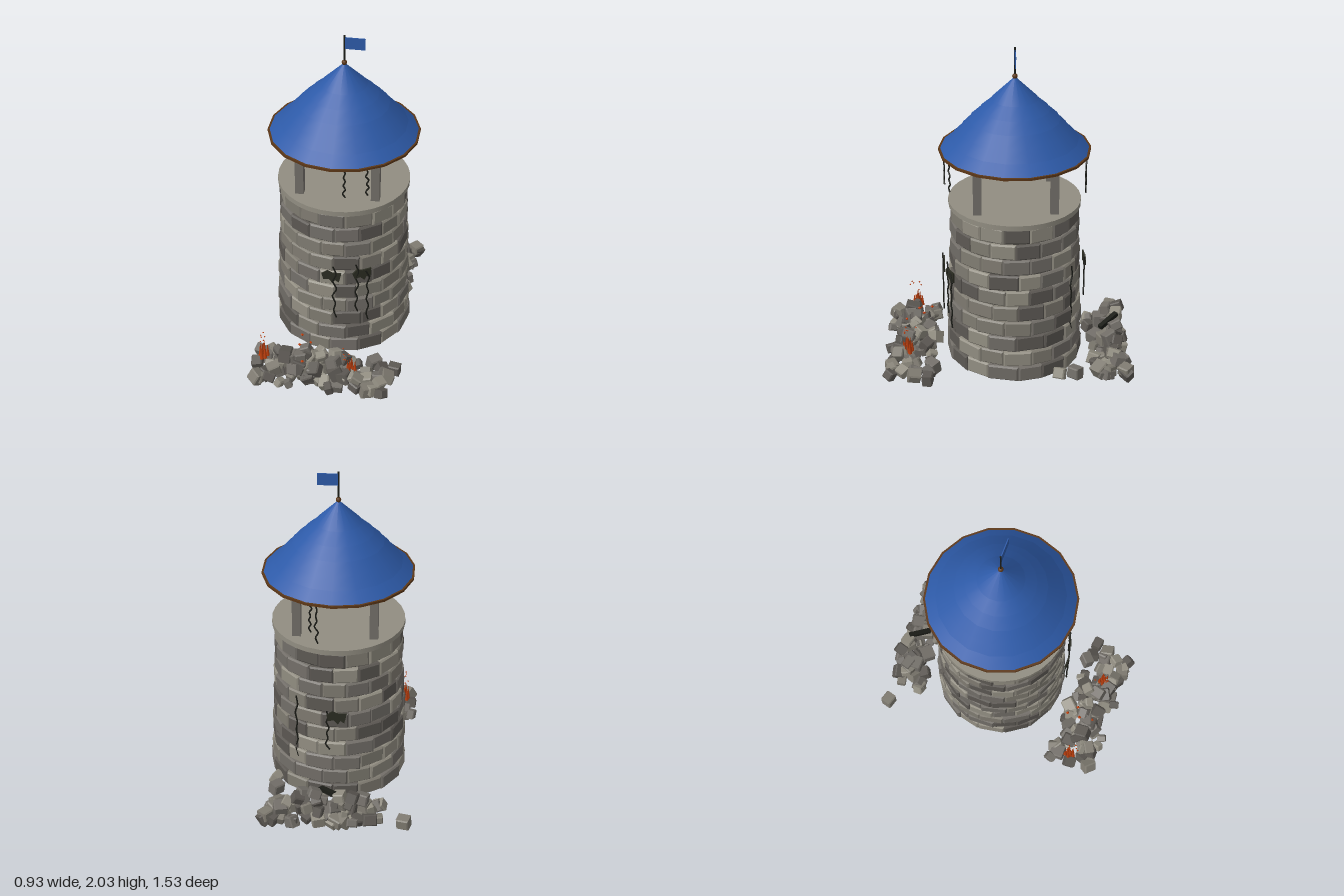
import * as THREE from 'three';
import { mergeGeometries } from 'three/addons/utils/BufferGeometryUtils.js';

const mat = (name, color) => {
  const m = new THREE.MeshStandardMaterial({ color });
  m.name = name;
  return m;
};
const greys = [
  mat('pale stone', 0x918d81), mat('mid stone', 0x7f7b71),
  mat('grey stone', 0x726e68), mat('dark stone', 0x5c5853),
];
const mortar = mat('mortar', 0x4a4742);
const blue = mat('roof blue', 0x2d5aa8);
const wood = mat('brown wood', 0x5c3717);
const vineMat = mat('charred black', 0x1b1c17);
const mossMat = mat('dark moss', 0x2b2c22);
const ember = mat('ember orange', 0xbf400e);
vineMat.side = mossMat.side = THREE.DoubleSide;

// Tower axis
const CX = 0.008, CZ = -0.055;

let seed = 11;
const rand = (a = 0, b = 1) => {
  seed = (seed * 16807) % 2147483647;
  return a + (b - a) * (seed / 2147483647);
};

function add(parent, name, geo, material, x = 0, y = 0, z = 0) {
  const m = new THREE.Mesh(geo, material);
  m.name = name;
  m.position.set(x, y, z);
  parent.add(m);
  return m;
}

// Chamfered block centred on the origin
function block(w, h, d, b = 0.009) {
  const x = w / 2 - b, y = h / 2 - b;
  const s = new THREE.Shape([[-x, -y], [x, -y], [x, y], [-x, y]].map(p => new THREE.Vector2(...p)));
  const g = new THREE.ExtrudeGeometry(s, {
    depth: d - 2 * b, bevelEnabled: true, bevelSize: b, bevelThickness: b, bevelSegments: 1,
  });
  return g.translate(0, 0, b - d / 2);
}

function place(geo, x, y, z, rx, ry, rz) {
  const q = new THREE.Quaternion().setFromEuler(new THREE.Euler(rx, ry, rz, 'YXZ'));
  return geo.applyMatrix4(new THREE.Matrix4().compose(new THREE.Vector3(x, y, z), q, new THREE.Vector3(1, 1, 1)));
}

// Sorts blocks by grey and merges each grey into one mesh
function stoneGroup(parent, name, build) {
  const bins = greys.map(() => []);
  build(geo => bins[Math.floor(rand(0, 3.999))].push(geo));
  const group = new THREE.Group();
  group.name = name;
  bins.forEach((b, i) => b.length && add(group, name + ' ' + greys[i].name, mergeGeometries(b), greys[i]));
  parent.add(group);
}

// Wiggly strand running down the tower at angle a (from +z toward +x)
function strand(parent, name, a, r, top, bottom) {
  const n = 7, pts = [];
  for (let i = 0; i <= n; i++) {
    const s = (i % 2 ? 1 : -1) * rand(0.003, 0.014);
    pts.push(new THREE.Vector3(
      CX + Math.sin(a) * r + Math.cos(a) * s, top + (bottom - top) * i / n,
      CZ + Math.cos(a) * r - Math.sin(a) * s));
  }
  const curve = new THREE.CatmullRomCurve3(pts, false, 'catmullrom', 0.2);
  add(parent, name, new THREE.TubeGeometry(curve, 24, 0.005, 5), vineMat);
}

// Ragged flat patch on the wall
function patch(parent, a, y, flip) {
  const pts = [[-0.065, 0.02], [-0.03, 0.045], [0, 0.03], [0.06, 0.03], [0.045, -0.035],
    [0.02, -0.02], [0.005, -0.045], [-0.02, -0.015], [-0.055, -0.02]];
  const s = new THREE.Shape(pts.map(p => new THREE.Vector2(p[0] * 0.95, p[1])));
  const g = new THREE.ExtrudeGeometry(s, { depth: 0.009, bevelEnabled: false });
  const m = add(parent, 'moss patch', g, mossMat, CX + Math.sin(a) * 0.424, y, CZ + Math.cos(a) * 0.424);
  m.rotation.set(0, a, flip, 'YXZ');
}

// Loose stones: layers of [count, y, x range, z range]
function rubble(parent, name, layers, extras) {
  stoneGroup(parent, name, push => {
    const stone = (x, y, z, s) => push(place(
      block(s, s * rand(0.75, 1), s * rand(0.8, 1.1), 0.007), x, y, z,
      rand(-0.5, 0.5), rand(0, 6.28), rand(-0.5, 0.5)));
    for (const [n, y, x0, x1, z0, z1] of layers)
      for (let i = 0; i < n; i++)
        stone(x0 + (x1 - x0) * (i + rand()) / n, y + rand(-0.012, 0.012), rand(z0, z1), rand(0.05, 0.085));
    for (const [x, y, z, s] of extras) stone(x, y, z, s);
  });
}

function createModel() {
  const model = new THREE.Group();
  model.name = 'ruined watchtower';

  // Wall core and brick courses
  add(model, 'wall core', new THREE.CylinderGeometry(0.365, 0.392, 1.0, 32), mortar, CX, 0.53, CZ);
  const courses = 10, perRow = 16, pitch = 0.1013;
  stoneGroup(model, 'brick', push => {
    for (let r = 0; r < courses; r++) {
      const radius = 0.41 - 0.0033 * r, step = Math.PI * 2 / perRow;
      const cuts = Array.from({ length: perRow }, (_, i) => (i + (r % 2) / 2 + rand(-0.1, 0.1)) * step);
      cuts.push(cuts[0] + Math.PI * 2);
      for (let i = 0; i < perRow; i++) {
        const a = (cuts[i] + cuts[i + 1]) / 2, depth = 0.085;
        const w = (cuts[i + 1] - cuts[i]) * radius - 0.001;
        const rc = radius - depth / 2 + rand(-0.004, 0.005);
        push(place(block(w, 0.097, depth), CX + Math.sin(a) * rc, 0.068 + r * pitch, CZ + Math.cos(a) * rc,
          rand(-0.03, 0.03), a + rand(-0.05, 0.05), rand(-0.015, 0.015)));
      }
    }
  });

  // Deck and posts
  add(model, 'deck', new THREE.CylinderGeometry(0.397, 0.397, 0.032, 32), greys[0], CX, 1.044, CZ);
  for (const sx of [-1, 1]) for (const sz of [-1, 1])
    add(model, 'post', new THREE.BoxGeometry(0.05, 0.32, 0.05), greys[2], CX + sx * 0.225, 1.218, CZ + sz * 0.225);

  // Stepped roof with wooden rim
  add(model, 'roof rim', new THREE.CylinderGeometry(0.45, 0.45, 0.014, 18), wood, CX, 1.376, CZ);
  const tiers = [[0.438, 1.383], [0.377, 1.44], [0.322, 1.502], [0.267, 1.565], [0.205, 1.627], [0.137, 1.69], [0, 1.825]];
  for (let i = 0; i < 6; i++) {
    const [r, y] = tiers[i], [r2, y2] = tiers[i + 1];
    const h = y2 - y + (i < 5 ? 0.006 : 0);
    add(model, 'roof tier', new THREE.CylinderGeometry(i < 5 ? r2 - 0.012 : 0, r, h, 18), blue, CX, y + h / 2, CZ);
  }

  // Finial, pole and flag
  add(model, 'finial', new THREE.SphereGeometry(0.016, 12, 8), wood, CX, 1.826, CZ);
  add(model, 'flag pole', new THREE.CylinderGeometry(0.005, 0.005, 0.18, 8), vineMat, CX, 1.91, CZ);
  add(model, 'flag', new THREE.BoxGeometry(0.118, 0.072, 0.006), blue, CX + 0.062, 1.95, CZ);

  // Strands hanging from the eaves
  for (const [x, z, bottom] of [[0.08, 0.36, 1.18], [0.205, 0.33, 1.19], [0.1, -0.472, 1.12], [0.135, -0.468, 1.19]])
    strand(model, 'hanging strand', Math.atan2(x - CX, z - CZ), Math.hypot(x - CX, z - CZ), 1.372, bottom);

  // Strands and patches on the wall
  for (const [x, z, top, bottom] of [[0.025, 0.38, 0.69, 0.31], [0.155, 0.35, 0.7, 0.35], [0.215, 0.33, 0.65, 0.28],
    [0.23, -0.39, 0.7, 0.27], [0.04, -0.48, 0.66, 0.39]])
    strand(model, 'wall strand', Math.atan2(x - CX, z - CZ), Math.hypot(x - CX, z - CZ), top, bottom);
  patch(model, 0.0, 0.61, 0);
  patch(model, 0.43, 0.625, 0.15);
  patch(model, Math.PI + 0.06, 0.62, 0);

  // Rubble heaps in front, behind and beneath
  rubble(model, 'front rubble', [
    [30, 0.04, -0.42, 0.4, 0.43, 0.58], [22, 0.04, -0.4, 0.36, 0.58, 0.72],
    [18, 0.095, -0.36, 0.22, 0.48, 0.67], [9, 0.15, -0.3, 0.1, 0.51, 0.62],
  ], [[-0.43, 0.04, 0.44, 0.06], [0.41, 0.04, 0.48, 0.07], [0.36, 0.04, 0.71, 0.06], [0.31, 0.02, 0.56, 0.03],
    [-0.4, 0.04, 0.69, 0.08], [0.28, 0.05, 0.45, 0.08], [-0.12, 0.185, 0.55, 0.06]]);
  rubble(model, 'back rubble', [
    [20, 0.04, -0.3, 0.4, -0.63, -0.53], [20, 0.04, -0.28, 0.4, -0.73, -0.63],
    [14, 0.1, -0.26, 0.33, -0.72, -0.59], [8, 0.16, -0.2, 0.25, -0.71, -0.63], [3, 0.215, -0.15, 0.1, -0.71, -0.66],
  ], [[-0.43, 0.04, -0.69, 0.075], [0.36, 0.04, -0.415, 0.08], [0.37, 0.04, -0.32, 0.07], [0.39, 0.07, -0.72, 0.07],
    [0.37, 0.03, -0.58, 0.05]]);
  stoneGroup(model, 'footing stone', push => {
    for (let i = 0; i < 32; i++) {
      const a = i * 2.4, r = 0.37 * Math.sqrt((i + 0.5) / 32);
      push(place(block(0.06, 0.03, 0.05, 0.006), CX + Math.sin(a) * r, 0.033, CZ + Math.cos(a) * r,
        rand(-0.2, 0.2), rand(0, 6), rand(-0.2, 0.2)));
    }
  });
  const plank = add(model, 'charred plank', new THREE.BoxGeometry(0.03, 0.025, 0.15), vineMat, 0.025, 0.2, -0.64);
  plank.rotation.set(0.3, 0.7, 0, 'YXZ');

  // Small fires with flying sparks
  for (const [x, z, y] of [[-0.38, 0.555, 0.09], [0.165, 0.605, 0.08]]) {
    for (let i = 0; i < 8; i++) {
      const a = i * 2.4, r = 0.011 * Math.sqrt(i), h = 0.12 - i * 0.006;
      add(model, 'flame', new THREE.ConeGeometry(0.013, h, 5), ember, x + Math.cos(a) * r, y + h / 2, z + Math.sin(a) * r);
    }
    for (let i = 0; i < 6; i++)
      add(model, 'spark', new THREE.OctahedronGeometry(0.006), ember,
        x + rand(-0.07, 0.07), y + rand(0.11, 0.18), z + rand(-0.06, 0.06));
  }
  for (const [x, y, z] of [[-0.16, 0.21, 0.46], [-0.1, 0.2, 0.51], [-0.16, 0.2, 0.54], [-0.13, 0.14, 0.62]])
    add(model, 'glowing coal', new THREE.OctahedronGeometry(0.011), ember, x, y, z);

  return model;
}

export { createModel };
